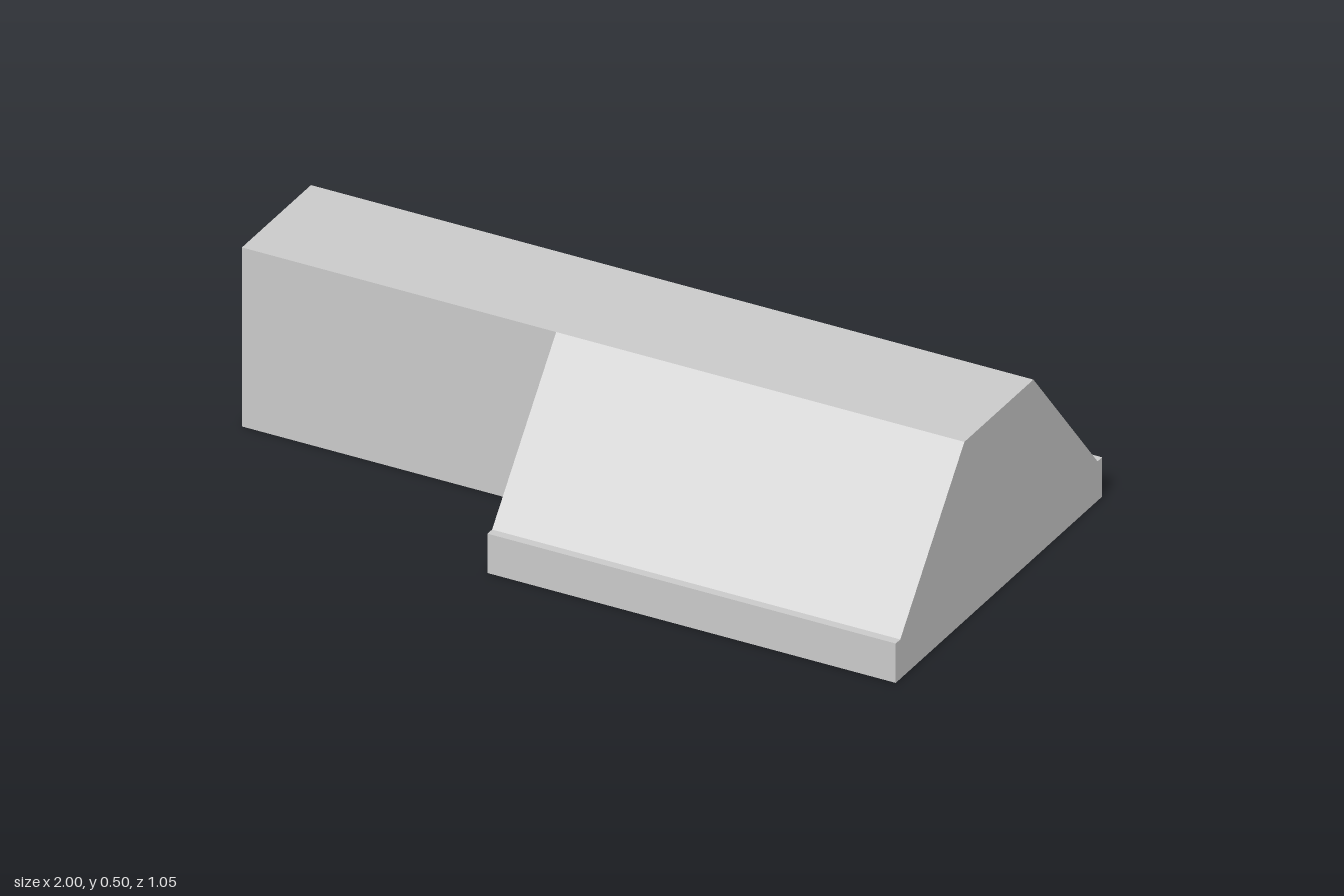
import * as THREE from 'three';

export function createModel() {
  const group = new THREE.Group();
  const material = new THREE.MeshStandardMaterial({ color: 0xcccccc, flatShading: true });
  const height = 0.5, halfTop = 0.175, jointX = -0.13;

  // Wide section: sloped sides standing on a low stepped base
  const half = [[0.523, 0], [0.523, 0.11], [0.5, 0.11], [halfTop, height]];
  const mirrored = half.map(([z, y]) => [-z, y]).reverse();
  const profile = new THREE.Shape([...half, ...mirrored].map(([z, y]) => new THREE.Vector2(z, y)));
  const slopedGeometry = new THREE.ExtrudeGeometry(profile, { depth: 1 - jointX, bevelEnabled: false });
  slopedGeometry.rotateY(Math.PI / 2).translate(jointX, 0, 0);
  const slopedSection = new THREE.Mesh(slopedGeometry, material);
  slopedSection.name = 'slopedSection';
  group.add(slopedSection);

  // Narrow straight block continuing the flat top
  const length = jointX + 1;
  const narrowBlock = new THREE.Mesh(new THREE.BoxGeometry(length, height, 2 * halfTop), material);
  narrowBlock.position.set(-1 + length / 2, height / 2, 0);
  narrowBlock.name = 'narrowBlock';
  group.add(narrowBlock);

  return group;
}
